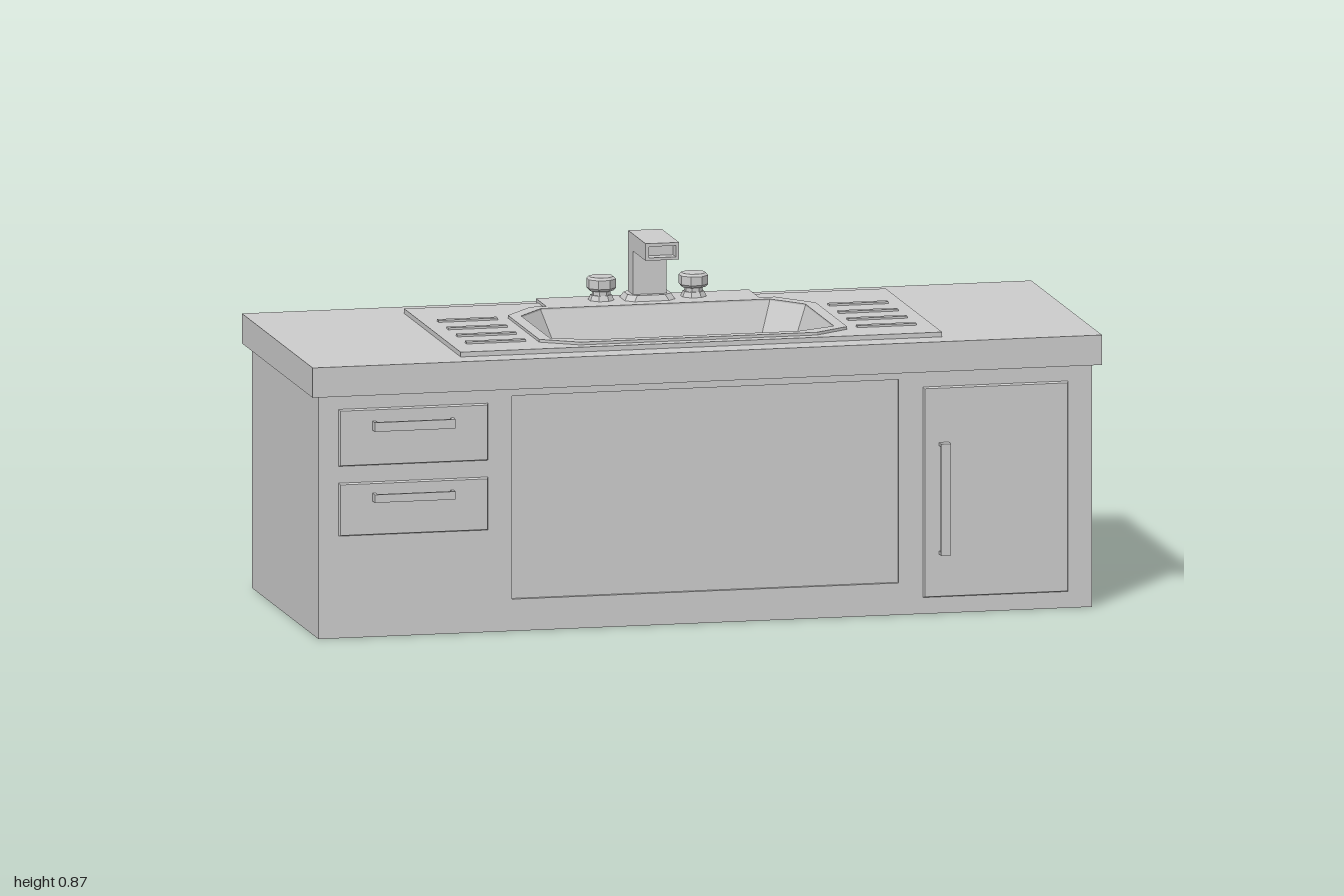
import * as THREE from 'three';

const mat = new THREE.MeshStandardMaterial({ color: 0xcccccc, flatShading: true, side: THREE.DoubleSide });

export function createModel() {
  const model = new THREE.Group();
  const add = (name, geo, parent = model) => {
    const mesh = new THREE.Mesh(geo, mat);
    mesh.name = name;
    parent.add(mesh);
    return mesh;
  };
  // Box given by its limits on each axis
  const box = (name, x0, x1, y0, y1, z0, z1, parent) =>
    add(name, new THREE.BoxGeometry(x1 - x0, y1 - y0, z1 - z0)
      .translate((x0 + x1) / 2, (y0 + y1) / 2, (z0 + z1) / 2), parent);
  const toShape = (pts, hole) => {
    const s = new THREE.Shape(pts.map(([a, b]) => new THREE.Vector2(a, b)));
    if (hole) s.holes.push(new THREE.Path(hole.map(([a, b]) => new THREE.Vector2(a, b))));
    return s;
  };
  const rect = (x0, x1, y0, y1) => [[x0, y0], [x1, y0], [x1, y1], [x0, y1]];
  const extrude = (pts, hole, depth) =>
    new THREE.ExtrudeGeometry(toShape(pts, hole), { depth, bevelEnabled: false });
  // Horizontal slab from an [x, z] outline with an optional hole
  const slab = (name, pts, hole, y0, y1) => {
    const flip = p => p && p.map(([x, z]) => [x, -z]);
    return add(name, extrude(flip(pts), flip(hole), y1 - y0).rotateX(-Math.PI / 2).translate(0, y0, 0));
  };
  // Mirrors the right half of an outline to the left
  const mirror = half => [...half, ...half.map(([x, z]) => [-x, z]).reverse()];

  // Surfaces between outlines of equal length, each { y, pts }
  const loft = rings => {
    const pos = [];
    const at = (r, i) => {
      const [x, z] = r.pts[i % r.pts.length];
      return [x, r.y, z];
    };
    for (let k = 0; k + 1 < rings.length; k++)
      for (let i = 0; i < rings[k].pts.length; i++) {
        const a = at(rings[k], i), b = at(rings[k], i + 1);
        const c = at(rings[k + 1], i + 1), d = at(rings[k + 1], i);
        pos.push(...a, ...d, ...b, ...b, ...d, ...c);
      }
    const g = new THREE.BufferGeometry();
    g.setAttribute('position', new THREE.Float32BufferAttribute(pos, 3));
    g.computeVertexNormals();
    return g;
  };

  // Cabinet carcass, open at the top to hold the basin
  box('cabinetBottom', -0.98, 0.98, 0, 0.02, -0.367, 0.345);
  box('cabinetBack', -0.98, 0.98, 0, 0.61, -0.367, -0.347);
  for (const s of [-1, 1])
    box('cabinetSide', s < 0 ? -0.98 : 0.96, s < 0 ? -0.96 : 0.98, 0, 0.61, -0.367, 0.345);
  add('cabinetFront', extrude(rect(-0.98, 0.98, 0, 0.61), rect(-0.49, 0.49, 0.08, 0.59), 0.017)
    .translate(0, 0, 0.34));
  box('recessedPanel', -0.5, 0.5, 0.07, 0.6, 0.335, 0.347);

  // Door and drawer fronts with slightly tapered edges
  const front = (name, x0, x1, y0, y1) => {
    const g = new THREE.BoxGeometry(x1 - x0, y1 - y0, 0.012);
    const p = g.attributes.position;
    for (let i = 0; i < p.count; i++)
      if (p.getZ(i) > 0) {
        p.setX(i, p.getX(i) - Math.sign(p.getX(i)) * 0.004);
        p.setY(i, p.getY(i) - Math.sign(p.getY(i)) * 0.004);
      }
    g.computeVertexNormals();
    add(name, g.translate((x0 + x1) / 2, (y0 + y1) / 2, 0.36));
  };
  front('upperDrawer', -0.93, -0.55, 0.43, 0.575);
  front('lowerDrawer', -0.93, -0.55, 0.255, 0.39);
  front('door', 0.55, 0.92, 0.04, 0.57);

  // Bar handles on two short posts
  const handle = (name, x0, x1, y0, y1) => {
    const g = new THREE.Group();
    g.name = name;
    model.add(g);
    box('bar', x0, x1, y0, y1, 0.382, 0.39, g);
    const t = 0.008;
    if (x1 - x0 > y1 - y0) {
      box('post', x0, x0 + t, y0, y1, 0.362, 0.384, g);
      box('post', x1 - t, x1, y0, y1, 0.362, 0.384, g);
    } else {
      box('post', x0, x1, y0, y0 + t, 0.362, 0.384, g);
      box('post', x0, x1, y1 - t, y1, 0.362, 0.384, g);
    }
  };
  handle('upperDrawerHandle', -0.845, -0.64, 0.52, 0.543);
  handle('lowerDrawerHandle', -0.845, -0.64, 0.342, 0.362);
  handle('doorHandle', 0.59, 0.615, 0.15, 0.43);

  // Countertop
  slab('countertop', rect(-1, 1, -0.39, 0.38), rect(-0.38, 0.38, -0.2, 0.27), 0.61, 0.685);

  // Sink plate, raised rim and tap ledge
  const opening = mirror([[0.29, -0.187], [0.36, -0.1], [0.36, 0.21], [0.26, 0.257]]);
  slab('sinkPlate', rect(-0.61, 0.61, -0.3, 0.315), opening, 0.683, 0.697);
  slab('basinRim', mirror([[0.27, -0.327], [0.27, -0.215], [0.31, -0.215], [0.39, -0.115],
    [0.39, 0.225], [0.3, 0.285]]), opening, 0.684, 0.704);

  // Drainer ridges on both sides
  for (const s of [-1, 1])
    for (const z of [-0.105, 0, 0.1, 0.2])
      box('drainerRidge', s * 0.495 - 0.075, s * 0.495 + 0.075, 0.69, 0.702, z - 0.009, z + 0.009);

  // Basin tapering to a floor that falls to the drain
  const floor = mirror([[0.19, -0.085], [0.245, -0.02], [0.245, 0.11], [0.2, 0.155]]);
  const drainRing = floor.map(([x, z]) => {
    const a = Math.atan2(z - 0.035, x);
    return [0.037 * Math.cos(a), 0.035 + 0.037 * Math.sin(a)];
  });
  add('basin', loft([{ y: 0.7, pts: opening }, { y: 0.4, pts: floor }, { y: 0.392, pts: drainRing }]));
  add('drain', new THREE.CylinderGeometry(0.038, 0.038, 0.008, 20).translate(0, 0.389, 0.035));

  // Tap base: plate with cut corners and sloping sides
  const base = (x, z) => mirror([[x - 0.02, -z], [x, -z + 0.02], [x, z - 0.02], [x - 0.02, z]])
    .map(([a, b]) => [a, b - 0.273]);
  add('tapBase', loft([{ y: 0.718, pts: base(0.055, 0.042) }, { y: 0.702, pts: base(0.065, 0.05) }]));
  slab('tapBaseTop', base(0.055, 0.042), null, 0.715, 0.718);

  // Spout with an open mouth
  const spout = [[-0.3, 0.71], [-0.248, 0.71], [-0.248, 0.827], [-0.14, 0.827], [-0.14, 0.87], [-0.3, 0.87]];
  add('spout', extrude(spout.map(([z, y]) => [-z, y]), null, 0.085)
    .rotateY(Math.PI / 2).translate(-0.0425, 0, 0));
  add('spoutMouth', extrude(rect(-0.0425, 0.0425, 0.827, 0.87), rect(-0.034, 0.034, 0.834, 0.862), 0.03)
    .translate(0, 0, -0.14));

  // Faceted tap knobs
  const profile = [[0, 0.703], [0.033, 0.703], [0.027, 0.717], [0.023, 0.717], [0.023, 0.728],
    [0.031, 0.728], [0.037, 0.735], [0.037, 0.757], [0.031, 0.763], [0, 0.763]];
  for (const s of [-1, 1])
    add(s > 0 ? 'leftKnob' : 'rightKnob',
      new THREE.LatheGeometry(profile.map(([r, y]) => new THREE.Vector2(r, y)), 8)
        .rotateY(Math.PI / 8).translate(s * 0.117, 0, -0.274));

  return model;
}
